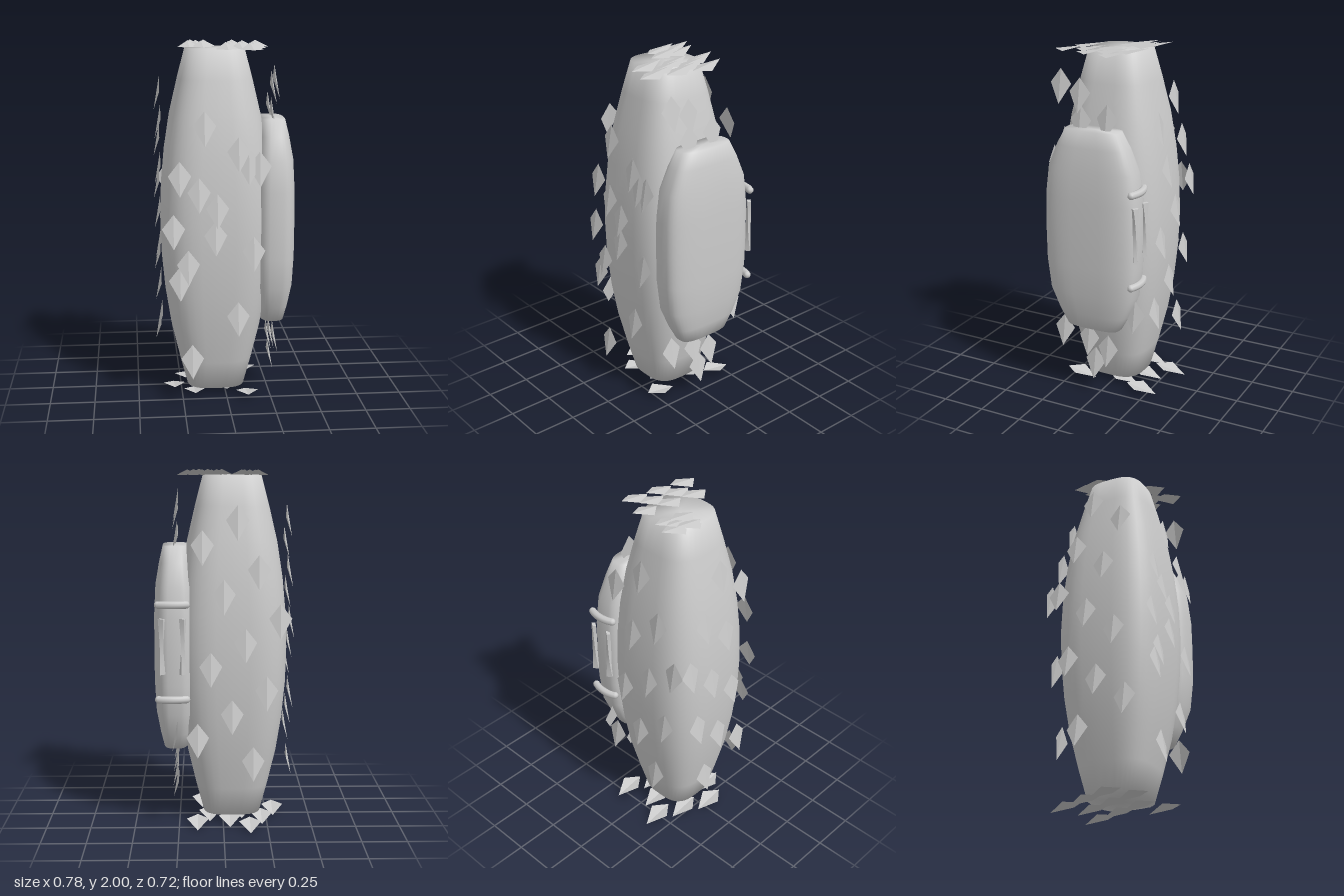
import * as THREE from 'three';

const grey = new THREE.MeshStandardMaterial({ color: 0xcccccc });
const leafMat = new THREE.MeshStandardMaterial({ color: 0xcccccc, side: THREE.DoubleSide, flatShading: true });

// Closed, smooth, rounded-square barrel, mirrored about y = mid.
// halfProfile: [distance from mid, scale], from the middle to the end.
function barrel(halfX, halfZ, mid, halfProfile, power) {
  const sides = 40, pos = [], idx = [];
  const bend = v => Math.sign(v) * Math.pow(Math.abs(v), 2 / power);
  const lower = halfProfile.slice(1).reverse().map(([d, s]) => [-d, s]);
  const rings = [...lower, ...halfProfile];
  for (const [d, s] of rings) {
    for (let j = 0; j < sides; j++) {
      const a = (j / sides) * Math.PI * 2;
      pos.push(bend(Math.cos(a)) * halfX * s, mid + d, bend(Math.sin(a)) * halfZ * s);
    }
  }
  const last = (rings.length - 1) * sides, low = last + sides, high = low + 1;
  const reach = rings[rings.length - 1][0];
  pos.push(0, mid - reach, 0, 0, mid + reach, 0);
  for (let j = 0; j < sides; j++) {
    const k = (j + 1) % sides;
    for (let a = 0; a < last; a += sides) {
      const b = a + sides;
      idx.push(a + j, b + j, a + k, a + k, b + j, b + k);
    }
    idx.push(low, j, k, high, last + k, last + j);
  }
  const g = new THREE.BufferGeometry();
  g.setAttribute('position', new THREE.Float32BufferAttribute(pos, 3));
  g.setIndex(idx);
  g.computeVertexNormals();
  return g;
}

// Folded kite leaf: lies on its plane, the lower tip lifted outward.
function leafGeometry() {
  const top = [0, 0.08, 0], left = [-0.063, 0, 0], right = [0.063, 0, 0], tip = [0, -0.11, 0.032];
  const g = new THREE.BufferGeometry();
  g.setAttribute('position', new THREE.Float32BufferAttribute([top, left, tip, top, tip, right].flat(), 3));
  g.computeVertexNormals();
  return g;
}

// Evenly scattered spots in a rectangle, by the golden ratio.
function scatter(count, a0, a1, b0, b1) {
  return Array.from({ length: count }, (_, i) => [
    a0 + (a1 - a0) * (((i + 0.5) * 0.618) % 1),
    b0 + (b1 - b0) * ((i + 0.5) / count),
  ]);
}

export function createModel() {
  const model = new THREE.Group();
  const add = (name, geo, x, y, z, parent = model, material = grey) => {
    const m = new THREE.Mesh(geo, material);
    m.name = name;
    m.position.set(x, y, z);
    parent.add(m);
    return m;
  };

  // Tall bulging trunk
  add('trunk', barrel(0.31, 0.308, 1.003,
    [[0, 1], [0.2, 0.98], [0.4, 0.92], [0.6, 0.82], [0.8, 0.67], [0.967, 0.53]], 3.1), -0.052, 0, 0.022);

  // Door pod on the left side
  add('door', barrel(0.12, 0.284, 1.005,
    [[0, 1], [0.19, 0.99], [0.36, 0.92], [0.485, 0.74], [0.575, 0.57]], 3.2), 0.27, 0, 0.024);

  // Hinge bars and twisted latch strips on the door's back edge
  const hardware = new THREE.Group();
  hardware.name = 'doorHardware';
  model.add(hardware);
  const bar = new THREE.QuadraticBezierCurve3(
    new THREE.Vector3(0.205, 0, -0.245),
    new THREE.Vector3(0.282, 0, -0.28),
    new THREE.Vector3(0.36, 0, -0.247));
  for (const y of [0.74, 1.27]) {
    add('hingeBar', new THREE.TubeGeometry(bar, 12, 0.021, 8), 0, y, 0, hardware);
    for (const end of [bar.v0, bar.v2]) {
      add('hingeEnd', new THREE.SphereGeometry(0.021, 8, 6), end.x, y, end.z, hardware);
    }
  }
  for (const side of [-1, 1]) {
    const strip = new THREE.BoxGeometry(0.03, 0.31, 0.02, 1, 8, 1);
    const p = strip.attributes.position;
    for (let i = 0; i < p.count; i++) {
      const t = p.getY(i) / 0.155, a = t * 0.6;
      const w = p.getX(i) * (0.65 + 0.5 * t * t), d = p.getZ(i);
      p.setXYZ(i, w * Math.cos(a) - d * Math.sin(a), p.getY(i), w * Math.sin(a) + d * Math.cos(a));
    }
    strip.computeVertexNormals();
    add('latchStrip', strip, 0.282 + side * 0.058, 1.04, -0.262, hardware);
  }

  // Leaves on six flat planes around the trunk
  const leaf = leafGeometry();
  const X = new THREE.Vector3(1, 0, 0), Y = new THREE.Vector3(0, 1, 0), Z = new THREE.Vector3(0, 0, 1);
  const addLeaves = (name, out, up, place, spots) => {
    const group = new THREE.Group();
    group.name = name;
    const turn = new THREE.Matrix4().makeBasis(up.clone().cross(out), up, out);
    for (const [a, b] of spots) {
      add('leaf', leaf, ...place(a, b), group, leafMat).quaternion.setFromRotationMatrix(turn);
    }
    model.add(group);
  };
  addLeaves('frontLeaves', Z, Y, (x, y) => [x, y, 0.33], [
    [-0.13, 1.57], [0.055, 1.43], [0.11, 1.36], [0.17, 1.35], [-0.265, 1.3], [-0.16, 1.21], [-0.06, 1.12],
    [-0.3, 1.01], [-0.07, 0.97], [0.14, 0.88], [-0.22, 0.81], [-0.265, 0.72], [0.055, 0.51], [-0.2, 0.27]]);
  addLeaves('leftLeaves', X, Y, (z, y) => [0.256, y, z], [
    [0.23, 1.81], [0.115, 1.77], [0.11, 1.62], [-0.05, 1.64], [0.23, 0.37], [0.07, 0.34],
    [-0.05, 0.29], [0.03, 0.2], [-0.22, 0.54]]);
  addLeaves('backLeaves', Z.clone().negate(), Y, (x, y) => [x, y, -0.285], scatter(11, -0.32, 0.18, 0.33, 1.8));
  addLeaves('rightLeaves', X.clone().negate(), Y, (z, y) => [-0.36, y, z], scatter(11, -0.22, 0.23, 0.3, 1.8));
  addLeaves('topLeaves', Y, Z, (x, z) => [x, 1.968, z], [
    ...scatter(5, -0.21, -0.09, -0.14, 0.01), ...scatter(8, 0, 0.21, -0.12, 0.28)]);
  addLeaves('bottomLeaves', Y.clone().negate(), Z, (x, z) => [x, 0.032, z], scatter(10, -0.3, 0.18, -0.27, 0.24));
  return model;
}
